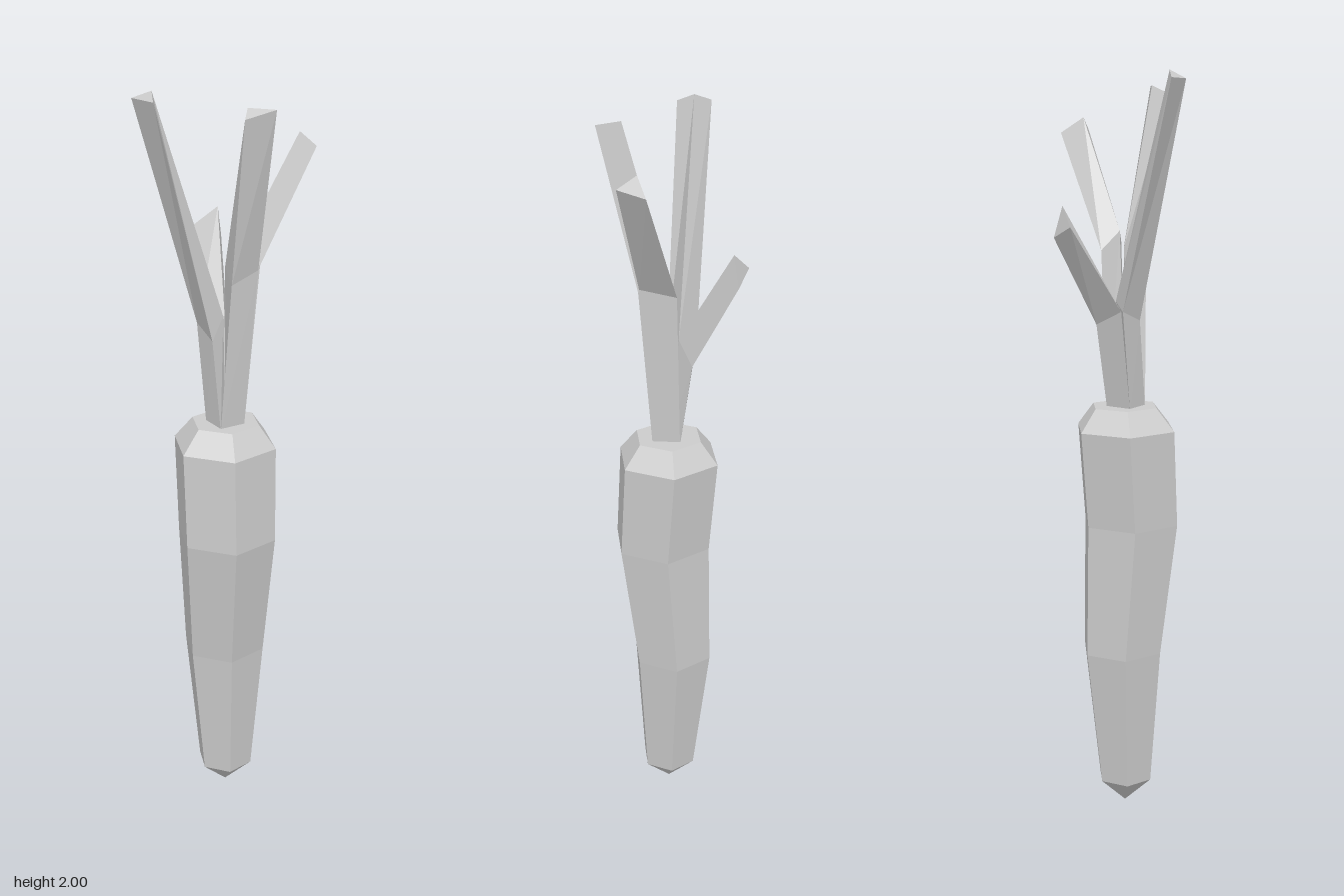
import * as THREE from 'three';

// Skin a stack of rings (bottom to top, counter-clockwise from above), closed by flat caps
function loft(name, rings) {
  const n = rings[0].length;
  const index = [];
  for (let r = 0; r < rings.length - 1; r++) {
    for (let i = 0; i < n; i++) {
      const a = r * n + i, b = r * n + (i + 1) % n;
      index.push(a, b, b + n, a, b + n, a + n);
    }
  }
  const top = (rings.length - 1) * n;
  for (let i = 1; i < n - 1; i++) {
    index.push(0, i + 1, i, top, top + i, top + i + 1);
  }
  const indexed = new THREE.BufferGeometry();
  indexed.setAttribute('position', new THREE.Float32BufferAttribute(rings.flat(2), 3));
  indexed.setIndex(index);
  const geometry = indexed.toNonIndexed();
  geometry.computeVertexNormals();
  const mesh = new THREE.Mesh(geometry, new THREE.MeshStandardMaterial({ color: 0xcccccc, flatShading: true }));
  mesh.name = name;
  return mesh;
}

// Six-sided ring with a corner facing the front
function hexRing([y, cx, cz, radius]) {
  return Array.from({ length: 6 }, (_, i) => {
    const angle = (i * Math.PI) / 3;
    return [cx + Math.sin(angle) * radius, y, cz + Math.cos(angle) * radius];
  });
}

export function createModel() {
  const group = new THREE.Group();
  group.name = 'carrot';

  // Slightly wobbly root: height, centre x, centre z, radius
  const rootProfile = [
    [0, 0.01, 0.022, 0.0005],
    [0.075, 0.01, 0.022, 0.078],
    [0.46, 0, 0.017, 0.115],
    [0.82, 0.026, 0.03, 0.138],
    [1.08, 0.01, 0.022, 0.142],
    [1.14, 0.01, 0.019, 0.093],
  ];
  group.add(loft('root', rootProfile.map(hexRing)));

  // The square stem base is split along its diagonals into four triangular stalks
  const corners = [[-0.028, 0.053], [0.043, 0.064], [0.055, -0.006], [-0.016, -0.02]];
  const centre = [0.0135, 1.13, 0.022];

  // Each stalk: bend and tip triangles, as two outer corners and the inner ridge
  const stalks = [
    { name: 'frontStalk',
      bend: [[-0.067, 1.4, 0.05], [0.01, 1.37, 0.063], [-0.015, 1.42, 0.005]],
      tip: [[-0.12, 1.98, 0.203], [-0.033, 1.98, 0.205], [-0.073, 2, 0.178]] },
    { name: 'leftStalk',
      bend: [[0.072, 1.53, 0.052], [0.09, 1.56, -0.02], [0.008, 1.56, 0.018]],
      tip: [[0.15, 1.95, 0.08], [0.185, 1.97, 0.012], [0.12, 1.97, 0.045]] },
    { name: 'backStalk',
      bend: [[0.088, 1.57, -0.028], [-0.005, 1.55, -0.042], [0.03, 1.6, -0.005]],
      tip: [[0.15, 1.86, -0.155], [0.085, 1.85, -0.205], [0.1, 1.89, -0.145]] },
    { name: 'rightStalk',
      bend: [[-0.045, 1.36, -0.037], [-0.067, 1.4, 0.045], [-0.015, 1.42, 0]],
      tip: [[-0.15, 1.59, -0.105], [-0.185, 1.62, -0.04], [-0.14, 1.67, -0.085]] },
  ];
  stalks.forEach(({ name, bend, tip }, i) => {
    const [p, q] = [corners[i], corners[(i + 1) % 4]];
    const base = [[p[0], 1.13, p[1]], [q[0], 1.13, q[1]], centre];
    group.add(loft(name, [base, bend, tip]));
  });

  return group;
}
